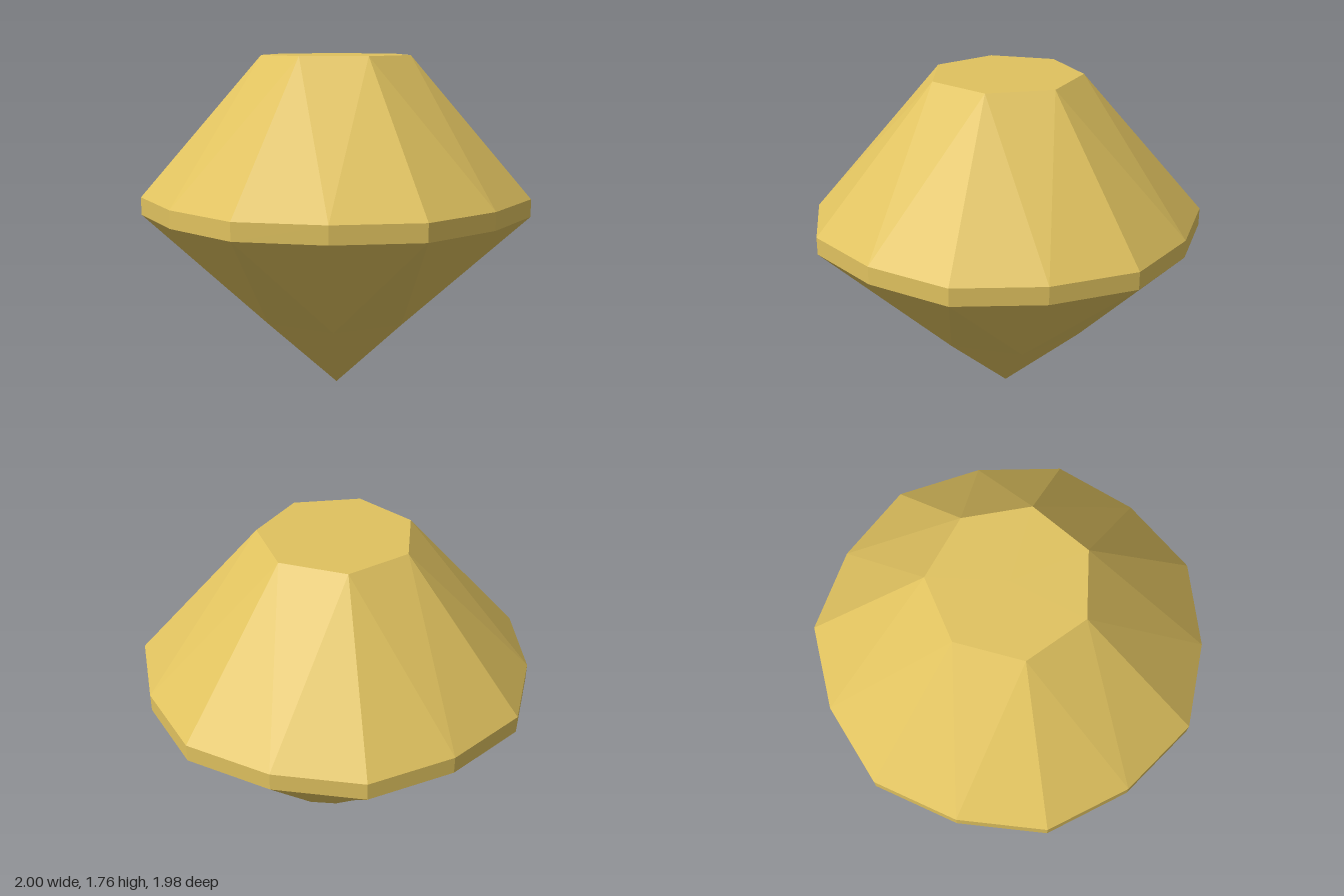
import * as THREE from 'three';

const SIDES = 7;
const STEP = (Math.PI * 2) / SIDES;
const CENTRE_X = -0.015; // an odd-sided stone has its axis slightly off the box centre

// Point k of a ring; half steps lie between the main corners
const point = (radius, y, k) => [
  CENTRE_X + radius * Math.cos(k * STEP), y, radius * Math.sin(k * STEP),
];

// Rings of corners from top to bottom
const table = k => point(0.39, 1.76, k);
const corner = (k, y) => point(1.015, y, k);
const middle = (k, y) => point(0.985, y, k + 0.5);
const lower = k => point(0.435, 0.395, k + 0.5);
const CROWN_Y = 1.045, PAVILION_Y = 0.955;
const tip = [CENTRE_X, 0, 0];
const tableCentre = [CENTRE_X, 1.76, 0];

// Repeats the triangles of one sector around the axis
function facets(name, material, sector) {
  const positions = [];
  for (let k = 0; k < SIDES; k++) positions.push(...sector(k).flat(2));
  const geometry = new THREE.BufferGeometry();
  geometry.setAttribute('position', new THREE.Float32BufferAttribute(positions, 3));
  geometry.computeVertexNormals(); // unshared corners give flat facets
  const mesh = new THREE.Mesh(geometry, material);
  mesh.name = name;
  return mesh;
}

export function createModel() {
  const gold = new THREE.MeshStandardMaterial({ color: 0xe0c25f });
  gold.name = 'gold';
  const group = new THREE.Group();
  group.name = 'gem';

  // Flat top
  group.add(facets('table', gold, k => [[tableCentre, table(k + 1), table(k)]]));

  // Sloping upper facets
  group.add(facets('crown', gold, k => {
    const a = corner(k, CROWN_Y), m = middle(k, CROWN_Y), b = corner(k + 1, CROWN_Y);
    return [
      [a, table(k), m],
      [m, table(k), table(k + 1)],
      [m, table(k + 1), b],
    ];
  }));

  // Narrow upright band
  group.add(facets('girdle', gold, k => {
    const a = y => corner(k, y), m = y => middle(k, y), b = y => corner(k + 1, y);
    return [[a, m], [m, b]].flatMap(([p, q]) => [
      [p(PAVILION_Y), p(CROWN_Y), q(PAVILION_Y)],
      [q(PAVILION_Y), p(CROWN_Y), q(CROWN_Y)],
    ]);
  }));

  // Steep lower facets
  group.add(facets('pavilion', gold, k => {
    const a = corner(k, PAVILION_Y), m = middle(k, PAVILION_Y), b = corner(k + 1, PAVILION_Y);
    return [
      [a, m, lower(k)],
      [m, b, lower(k)],
      [lower(k - 1), a, lower(k)],
    ];
  }));

  // Pointed bottom
  group.add(facets('tip', gold, k => [[lower(k - 1), lower(k), tip]]));

  return group;
}
